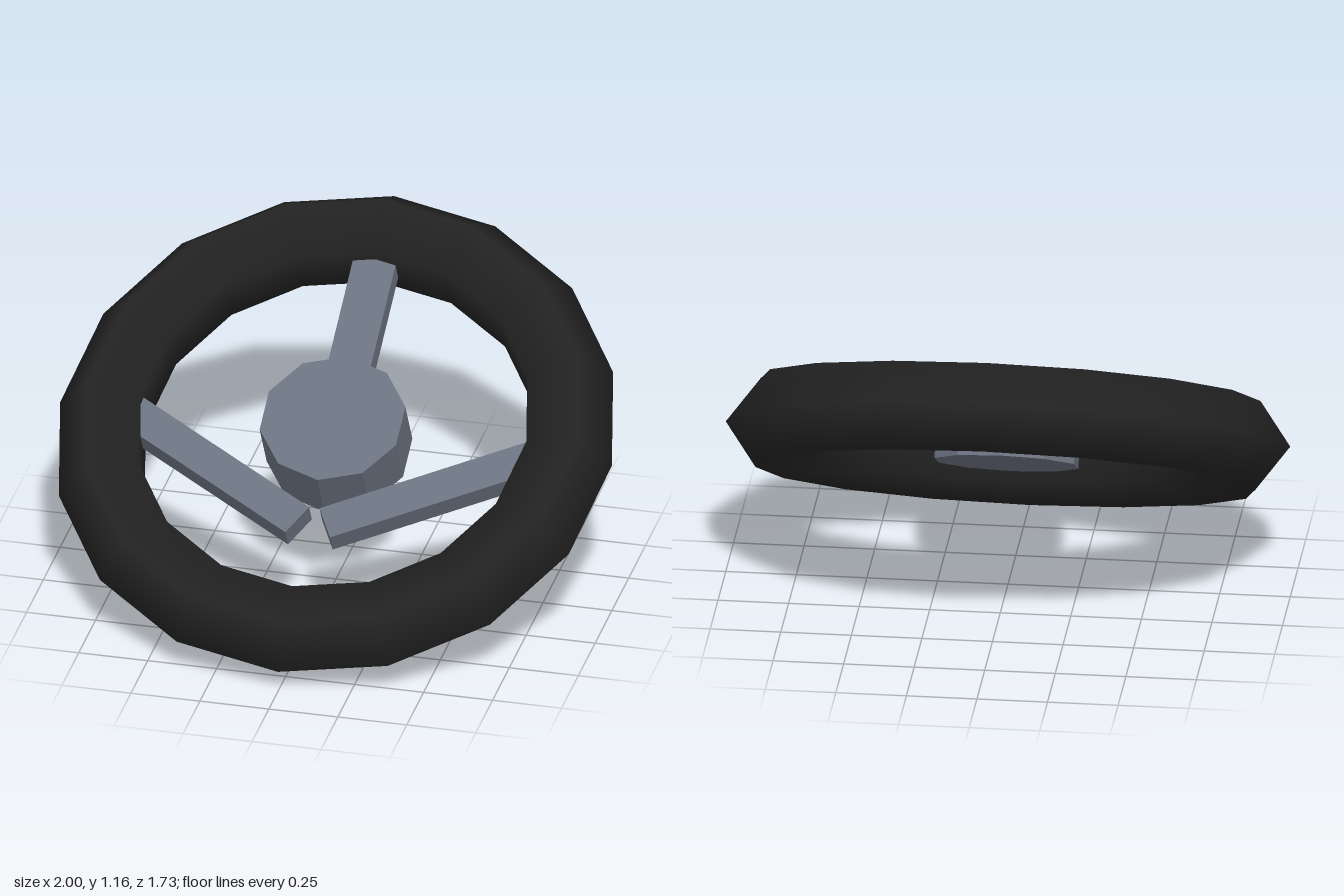
import * as THREE from 'three';

export function createModel() {
  const model = new THREE.Group();
  model.name = 'steeringWheel';

  const black = new THREE.MeshStandardMaterial({ color: 0x222222 });
  black.name = 'black rubber';
  const grey = new THREE.MeshStandardMaterial({ color: 0x6b7280 });
  grey.name = 'grey metal';
  const flat = (g) => {
    const f = g.toNonIndexed();
    f.computeVertexNormals();
    return f;
  };

  // The wheel lies flat in this group, which is then tilted towards the front
  const wheel = new THREE.Group();
  wheel.name = 'wheel';
  wheel.position.y = 0.58;
  wheel.rotation.x = Math.PI / 6;
  model.add(wheel);

  const add = (name, geometry, material, x = 0, y = 0, z = 0, turn = 0) => {
    const mesh = new THREE.Mesh(geometry, material);
    mesh.name = name;
    mesh.position.set(x, y, z);
    mesh.rotation.y = turn;
    wheel.add(mesh);
  };

  // Rim with a five-sided section
  add('rim', new THREE.TorusGeometry(0.835, 0.165, 5, 16).rotateX(Math.PI / 2), black);

  // Ten-sided hub
  add('hub', flat(new THREE.CylinderGeometry(0.26, 0.26, 0.208, 10)), grey);

  // Back spoke, from hub to rim
  add('backSpoke', new THREE.BoxGeometry(0.155, 0.08, 0.62), grey, 0, 0.012, -0.49);

  // Two angled side spokes
  for (const s of [1, -1]) {
    add(s > 0 ? 'leftSpoke' : 'rightSpoke', new THREE.BoxGeometry(0.83, 0.08, 0.13), grey,
      s * 0.414, 0.012, 0.201, s * 0.5);
  }

  return model;
}
